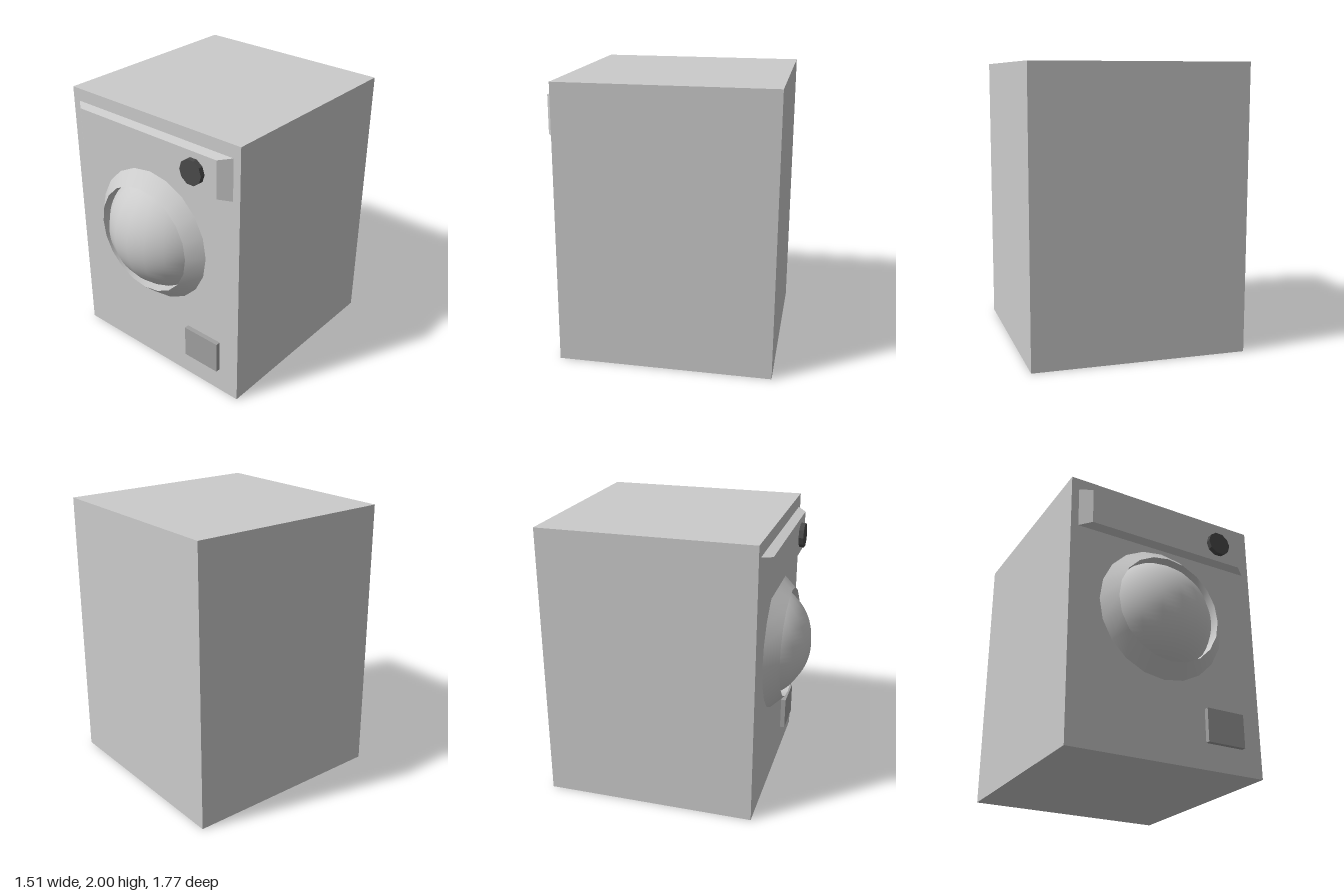
import * as THREE from 'three';
import { toCreasedNormals } from 'three/addons/utils/BufferGeometryUtils.js';

const FRONT = 0.635; // z of the cabinet's front face

export function createModel() {
  const washer = new THREE.Group();
  washer.name = 'washingMachine';
  const grey = new THREE.MeshStandardMaterial({ color: 0xcccccc });
  const midGrey = new THREE.MeshStandardMaterial({ color: 0xa0a0a0 });
  const darkGrey = new THREE.MeshStandardMaterial({ color: 0x4a4a4a });

  function add(name, geometry, material, x, y, z) {
    const mesh = new THREE.Mesh(geometry, material);
    mesh.name = name;
    mesh.position.set(x, y, z);
    washer.add(mesh);
  }

  // Cabinet
  add('cabinet', new THREE.BoxGeometry(1.51, 2, 1.52), grey, 0, 1, -0.125);

  // Control panel: a box whose front face is drawn in to make sloped sides
  const panel = new THREE.BoxGeometry(1.396, 0.3, 0.065);
  const p = panel.attributes.position;
  for (let i = 0; i < p.count; i++) {
    if (p.getZ(i) > 0) p.setXY(i, Math.sign(p.getX(i)) * 0.617, Math.sign(p.getY(i)) * 0.135);
  }
  panel.computeVertexNormals();
  add('controlPanel', panel, grey, 0, 1.758, FRONT + 0.0325);

  // Ten-sided program knob
  const knob = new THREE.CylinderGeometry(0.091, 0.091, 0.035, 10);
  knob.rotateY(Math.PI / 2).rotateX(Math.PI / 2);
  add('programKnob', toCreasedNormals(knob, 0.3), darkGrey, 0.43, 1.76, 0.7175);

  // Door frame: sloped outside, straight inner wall
  const profile = [[0.496, 0], [0.4, 0.1], [0.4, 0]].map(([r, h]) => new THREE.Vector2(r, h));
  const frame = new THREE.LatheGeometry(profile, 20).rotateX(Math.PI / 2);
  add('doorFrame', toCreasedNormals(frame, 0.6), grey, -0.028, 1.08, FRONT);

  // Bulging door glass, a sphere sunk into the cabinet
  add('doorGlass', new THREE.SphereGeometry(0.453, 20, 40), grey, -0.028, 1.08, 0.435);

  // Filter hatch
  add('filterHatch', new THREE.BoxGeometry(0.298, 0.244, 0.035), midGrey, 0.445, 0.312, FRONT + 0.0175);

  return washer;
}
